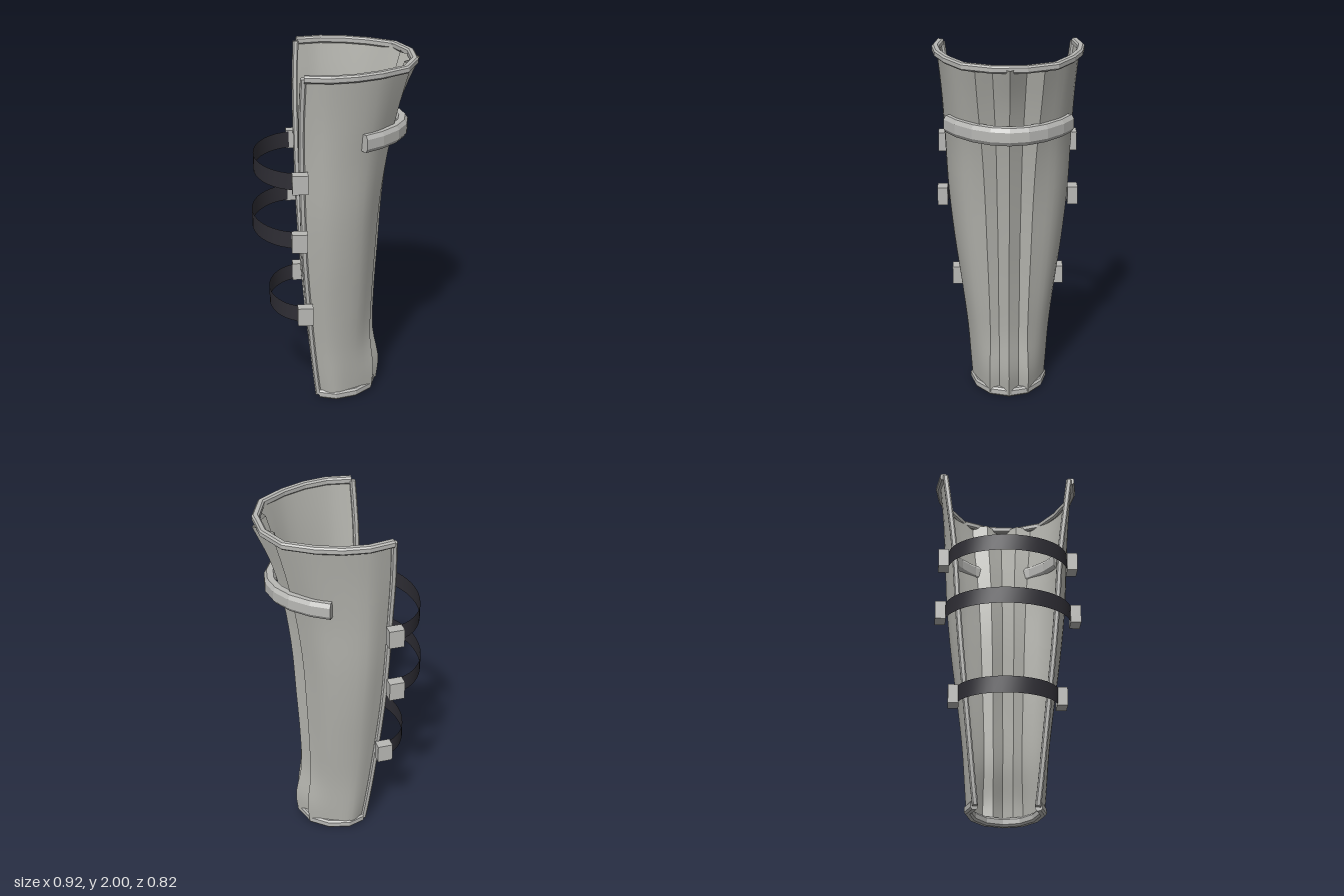
import * as THREE from 'three';

const V = (x, y, z) => new THREE.Vector3(x, y, z);

// Half cross-sections, bottom to top: y, then x,z of back edge, widest point,
// flank, ridge and groove, then x of the centre crest
const LEVELS = [
  [0.02, -.11, .165, -.02, .21, .10, .168, .205, .11, .185, .055, .245],
  [0.15, -.125, .18, -.03, .22, .10, .178, .215, .11, .195, .055, .257],
  [0.35, -.145, .20, -.04, .235, .10, .19, .195, .105, .175, .055, .222],
  [0.60, -.165, .225, -.05, .265, .11, .215, .20, .11, .18, .058, .225],
  [0.90, -.185, .255, -.05, .305, .12, .245, .215, .12, .19, .06, .243],
  [1.20, -.195, .28, -.06, .335, .13, .27, .235, .13, .21, .065, .262],
  [1.50, -.20, .30, -.06, .35, .15, .28, .275, .145, .25, .07, .302],
  [1.75, -.20, .33, -.05, .365, .18, .30, .325, .165, .30, .08, .362],
  [1.98, -.19, .36, -.05, .387, .20, .328, .385, .18, .36, .09, .457],
];

// Smooth vertical lines through the levels: edge, wide, flank, ridge, groove, crest
const LINES = [0, 1, 2, 3, 4, 5].map(k => new THREE.CatmullRomCurve3(
  LEVELS.map(l => V(l[1 + 2 * k], l[0], k < 5 ? l[2 + 2 * k] : 0))));

function build(pos, idx) {
  const g = new THREE.BufferGeometry();
  g.setAttribute('position', new THREE.Float32BufferAttribute(pos, 3));
  g.setIndex(idx);
  return g;
}

// Smooth surface from fn(u, v)
function grid(nu, nv, fn, flip = false) {
  const pos = [], idx = [];
  for (let j = 0; j <= nv; j++)
    for (let i = 0; i <= nu; i++) pos.push(...fn(i / nu, j / nv).toArray());
  for (let j = 0; j < nv; j++)
    for (let i = 0; i < nu; i++) {
      const a = j * (nu + 1) + i, b = a + 1, c = b + nu + 1, d = c - 1;
      idx.push(...(flip ? [a, c, b, a, d, c] : [a, b, c, a, c, d]));
    }
  const g = build(pos, idx);
  g.computeVertexNormals();
  return g;
}

// Flat-faced solid bar with a chamfered section along a path
function bar(path, up, w, h) {
  const c = 0.55;
  const sec = [[w, -h * c], [w, h * c], [w * c, h], [-w * c, h],
    [-w, h * c], [-w, -h * c], [-w * c, -h], [w * c, -h]];
  const n = sec.length, last = path.length - 1, pos = [], idx = [];
  path.forEach((p, i) => {
    const t = path[Math.min(i + 1, last)].clone().sub(path[Math.max(i - 1, 0)]);
    const side = up.clone().cross(t).normalize();
    for (const [a, b] of sec)
      pos.push(...p.clone().addScaledVector(side, a).addScaledVector(up, b).toArray());
  });
  for (let i = 0; i < last; i++)
    for (let j = 0; j < n; j++) {
      const a = i * n + j, b = i * n + (j + 1) % n;
      idx.push(a, b, b + n, a, b + n, a + n);
    }
  for (let j = 1; j < n - 1; j++)
    idx.push(0, j + 1, j, last * n, last * n + j, last * n + j + 1);
  const g = build(pos, idx).toNonIndexed();
  g.computeVertexNormals();
  return g;
}

// Mirrors a half path (from +z to the front) across z = 0
function mirrorPath(half, y) {
  const a = half.map(([x, z]) => V(x, y, z));
  const b = half.filter(p => p[1] > 0).reverse().map(([x, z]) => V(x, y, -z));
  return [...a, ...b];
}

export function createModel() {
  const model = new THREE.Group();
  model.name = 'legGuard';
  const steel = new THREE.MeshStandardMaterial({ color: 0xb3b3ad, side: THREE.DoubleSide });
  steel.name = 'steel';
  const trim = new THREE.MeshStandardMaterial({ color: 0xb8b8b5 });
  trim.name = 'trim steel';
  const leather = new THREE.MeshStandardMaterial({ color: 0x2f2e35, side: THREE.DoubleSide });
  leather.name = 'dark strap';
  const add = (name, geo, mat) => {
    const m = new THREE.Mesh(geo, mat);
    m.name = name;
    model.add(m);
    return m;
  };

  const Y = V(0, 1, 0), X = V(1, 0, 0);
  for (const s of [1, -1]) {
    const label = s > 0 ? 'left' : 'right';
    const mir = p => p.setZ(p.z * s);

    // Curved side panel
    add(label + 'SidePanel', grid(12, 28, (u, v) => {
      const section = new THREE.CatmullRomCurve3(LINES.slice(0, 4).map(c => c.getPoint(v)));
      return mir(section.getPoint(u));
    }, s < 0), steel);

    // Two creased facets between ridge, groove and crest
    for (const k of [3, 4])
      add(label + (k === 3 ? 'GrooveFacet' : 'CrestFacet'), grid(1, 28, (u, v) =>
        mir(LINES[k].getPoint(v).lerp(LINES[k + 1].getPoint(v), u)), s < 0), steel);

    // Trim down the back edge
    const edge = LINES[0].getPoints(16).map(mir);
    add(label + 'EdgeTrim', bar(edge, X, 0.016, 0.016), trim);

    // Strap clips
    for (const [x, y, z] of [[-.212, 1.41, .36], [-.218, 1.08, .372], [-.187, .6, .292]])
      add(label + 'StrapClip', new THREE.BoxGeometry(.085, .105, .058), trim)
        .position.set(x, y, z * s);
  }

  // Rims and the raised front band
  add('topRim', bar(mirrorPath([[-.185, .37], [-.05, .392], [.08, .374], [.21, .325],
    [.35, .238], [.417, .085]], 1.98), Y, 0.02, 0.02), trim);
  add('bottomRim', bar(mirrorPath([[-.1, .17], [-.01, .2], [.1, .17], [.185, .1],
    [.215, 0]], 0.025), Y, 0.02, 0.025), trim);
  add('frontBand', bar(mirrorPath([[.125, .322], [.215, .265], [.3, .18], [.35, .09],
    [.367, 0]], 1.61), Y, 0.032, 0.048), trim);

  // Straps arching round the back
  for (const [x, y, rx, rz] of [[-.2, 1.41, .25, .335], [-.2, 1.08, .263, .35], [-.17, .6, .205, .28]])
    add('strap', grid(20, 1, (u, v) => {
      const a = Math.PI * (u - 0.5);
      return V(x - rx * Math.cos(a), y + (v - 0.5) * 0.095, rz * Math.sin(a));
    }), leather);

  return model;
}
